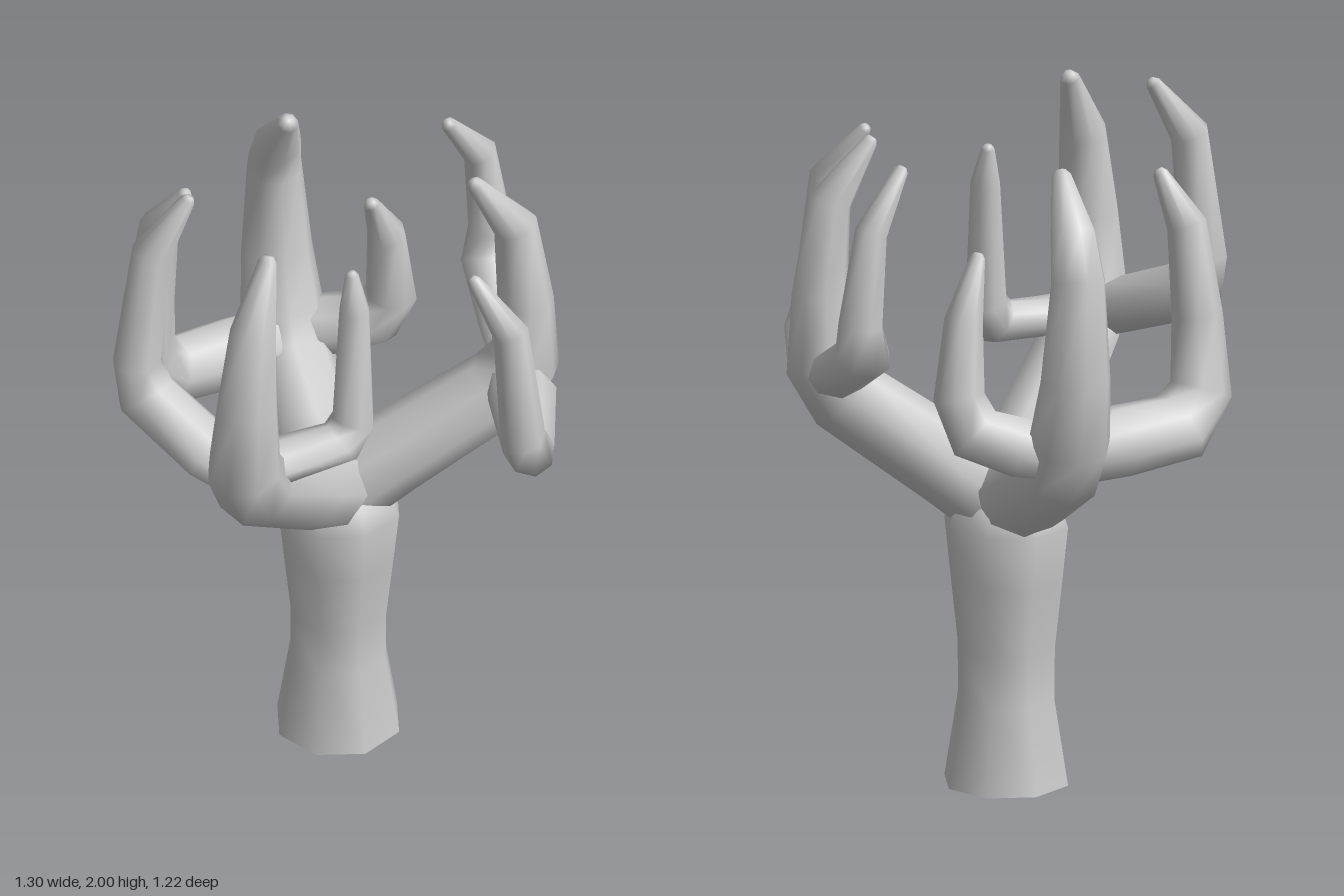
import * as THREE from 'three';

const SIDES = 8;
const material = new THREE.MeshStandardMaterial({ color: 0xcccccc });

// Tapered limb: octagonal rings along a path of [x, y, z, radius, flatness], mitred at the bends, with a rounded tip.
// The start is left open, since it sits inside the part it grows from.
function limb(name, path) {
  const p = path.map(([x, y, z]) => new THREE.Vector3(x, y, z));
  const r = path.map((q) => q[3]);
  const flat = path.map((q) => q[4] ?? 1);
  // blunt little end ring beyond the last point
  const last = p.length - 1;
  const endDir = p[last].clone().sub(p[last - 1]).normalize();
  p.push(p[last].clone().addScaledVector(endDir, r[last] * 0.6));
  r.push(r[last] * 0.55);
  flat.push(1);

  const n = p.length;
  const positions = [];
  const index = [];
  let normal = null;
  for (let i = 0; i < n; i++) {
    const into = p[i].clone().sub(p[Math.max(i - 1, 0)]).normalize();
    const out = p[Math.min(i + 1, n - 1)].clone().sub(p[i]).normalize();
    const tangent = into.clone().add(out).normalize();
    // carry the ring frame along the path
    if (!normal) normal = new THREE.Vector3(0.31, 0.2, 0.93);
    normal.addScaledVector(tangent, -normal.dot(tangent)).normalize();
    const binormal = tangent.clone().cross(normal);
    // widen the ring along the bend so the limb keeps its thickness
    const bend = out.clone().sub(into);
    const bent = i > 0 && i < n - 1 && bend.length() > 0.01;
    const stretch = bent ? Math.min(1 / Math.max(tangent.dot(out), 0.1), 1.35) - 1 : 0;
    if (bent) bend.addScaledVector(tangent, -bend.dot(tangent)).normalize();
    for (let s = 0; s < SIDES; s++) {
      const a = (s / SIDES) * Math.PI * 2;
      const d = normal.clone().multiplyScalar(Math.cos(a)).addScaledVector(binormal, Math.sin(a));
      if (bent) d.addScaledVector(bend, d.dot(bend) * stretch);
      d.y *= flat[i];
      const v = p[i].clone().addScaledVector(d, r[i]);
      positions.push(v.x, v.y, v.z);
      if (i < n - 1) {
        const a0 = i * SIDES + s;
        const b0 = i * SIDES + ((s + 1) % SIDES);
        index.push(a0, b0, b0 + SIDES, a0, b0 + SIDES, a0 + SIDES);
      }
    }
  }
  // close the tip
  positions.push(...p[n - 1].toArray());
  for (let s = 0; s < SIDES; s++) {
    index.push(n * SIDES, (n - 1) * SIDES + s, (n - 1) * SIDES + ((s + 1) % SIDES));
  }
  const g = new THREE.BufferGeometry();
  g.setAttribute('position', new THREE.Float32BufferAttribute(positions, 3));
  g.setIndex(index);
  g.computeVertexNormals();
  const mesh = new THREE.Mesh(g, material);
  mesh.name = name;
  return mesh;
}

// Each bough leaves the trunk and runs on into its main prong; two side prongs grow from its elbow.
const boughs = {
  rightBough: {
    boughAndMainProng: [[0.04, 0.835, -0.025, 0.12], [-0.02, 0.87, 0.02, 0.13], [-0.12, 0.955, 0.1, 0.126], [-0.37, 1.175, 0.305, 0.115],
      [-0.425, 1.285, 0.35, 0.107], [-0.42, 1.5, 0.36, 0.09], [-0.395, 1.74, 0.345, 0.07], [-0.32, 1.93, 0.28, 0.028]],
    outerProng: [[-0.42, 1.22, 0.29, 0.07], [-0.465, 1.26, 0.22, 0.093, 0.85], [-0.565, 1.35, 0.0, 0.086], [-0.585, 1.46, -0.02, 0.07], [-0.54, 1.82, -0.025, 0.056], [-0.43, 1.98, -0.015, 0.022]],
    innerProng: [[-0.37, 1.23, 0.3, 0.085, 0.7], [-0.25, 1.235, 0.295, 0.083, 0.65], [-0.1, 1.24, 0.295, 0.068, 0.85], [-0.06, 1.3, 0.29, 0.062], [-0.045, 1.66, 0.265, 0.045], [-0.043, 1.77, 0.245, 0.02]],
  },
  leftBough: {
    boughAndMainProng: [[0.04, 0.835, -0.025, 0.12], [0.1, 0.87, 0.0, 0.13], [0.18, 0.93, 0.03, 0.122], [0.465, 1.15, 0.14, 0.112],
      [0.525, 1.25, 0.17, 0.1], [0.53, 1.45, 0.17, 0.08], [0.5, 1.72, 0.165, 0.062], [0.385, 1.885, 0.142, 0.024]],
    backProng: [[0.52, 1.22, 0.11, 0.07, 0.8], [0.545, 1.255, 0.03, 0.085, 0.8], [0.568, 1.365, -0.165, 0.08, 0.9], [0.58, 1.46, -0.175, 0.065], [0.548, 1.73, -0.178, 0.048], [0.435, 1.885, -0.142, 0.022]],
    frontProng: [[0.49, 1.2, 0.18, 0.08, 0.8], [0.468, 1.215, 0.28, 0.098, 0.75], [0.375, 1.22, 0.525, 0.074, 0.9], [0.345, 1.29, 0.55, 0.064], [0.31, 1.66, 0.545, 0.05], [0.235, 1.81, 0.46, 0.02]],
  },
  rearBough: {
    boughAndMainProng: [[0.04, 0.835, -0.025, 0.12], [0.042, 0.865, -0.11, 0.13], [0.047, 0.91, -0.2, 0.124], [0.062, 1.03, -0.4, 0.122],
      [0.07, 1.13, -0.465, 0.12], [0.072, 1.32, -0.507, 0.103], [0.067, 1.61, -0.513, 0.08], [0.053, 1.73, -0.455, 0.067], [0.037, 1.87, -0.355, 0.03]],
    rightProng: [[0.02, 1.075, -0.42, 0.095], [-0.12, 1.08, -0.4, 0.105], [-0.32, 1.09, -0.385, 0.098], [-0.405, 1.18, -0.355, 0.085], [-0.4, 1.4, -0.34, 0.072], [-0.375, 1.66, -0.325, 0.056], [-0.325, 1.8, -0.26, 0.022]],
    leftProng: [[0.1, 1.08, -0.42, 0.08], [0.18, 1.1, -0.385, 0.09], [0.29, 1.14, -0.315, 0.08], [0.32, 1.24, -0.275, 0.072], [0.3, 1.46, -0.265, 0.055], [0.23, 1.62, -0.215, 0.022]],
  },
};

export function createModel() {
  const model = new THREE.Group();
  model.name = 'branchingStand';

  // Waisted octagonal trunk, its shoulder closing in under the boughs
  const profile = [[0.182, 0], [0.142, 0.25], [0.143, 0.4], [0.165, 0.6], [0.182, 0.76], [0.155, 0.83], [0.1, 0.9]]
    .map(([x, y]) => new THREE.Vector2(x, y));
  const trunk = new THREE.Mesh(new THREE.LatheGeometry(profile, SIDES), material);
  trunk.position.set(0.04, 0, -0.025);
  trunk.name = 'trunk';
  model.add(trunk);

  // Flat underside
  const base = new THREE.Mesh(new THREE.CircleGeometry(0.182, SIDES), material);
  base.rotation.x = Math.PI / 2;
  base.position.set(0.04, 0, -0.025);
  base.name = 'trunkBase';
  model.add(base);

  // Boughs with their prongs
  for (const [name, parts] of Object.entries(boughs)) {
    const group = new THREE.Group();
    group.name = name;
    for (const [part, path] of Object.entries(parts)) group.add(limb(part, path));
    model.add(group);
  }
  return model;
}
